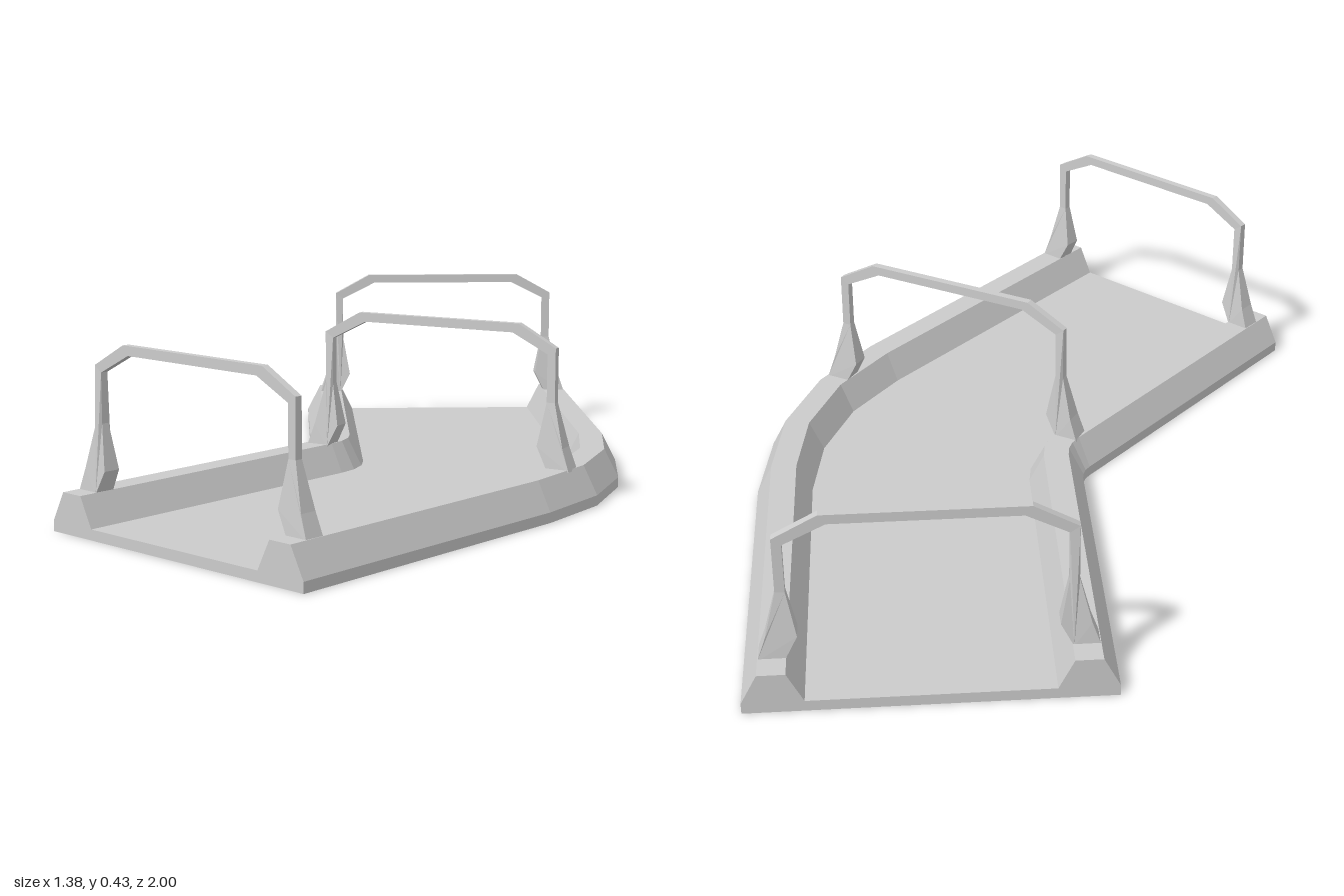
import * as THREE from 'three';

const material = new THREE.MeshStandardMaterial({ color: 0xcccccc, flatShading: true, side: THREE.DoubleSide });

// Closed shape from the right-hand half of a symmetric outline
function mirroredShape(half) {
  const pts = [...half, ...half.slice().reverse().map(([x, y]) => [-x, y])];
  return new THREE.Shape(pts.map(([x, y]) => new THREE.Vector2(x, y)));
}

// Stations along the bend: centre x, z and turn angle
const PIVOT = [-0.17, -0.2], RADIUS = 0.465;
const stations = [[0.295, -1, 0]];
for (let i = 0; i <= 3; i++) {
  const a = (i * Math.PI) / 12;
  stations.push([PIVOT[0] + RADIUS * Math.cos(a), PIVOT[1] + RADIUS * Math.sin(a), a]);
}
stations.push([-0.413, 0.722, Math.PI / 4]);

// Channel section with raised side rails, swept through the stations
function makeTrack() {
  const shape = mirroredShape([
    [0.393, 0], [0.393, 0.025], [0.357, 0.095], [0.297, 0.095], [0.262, 0.025],
  ]);
  const steps = stations.length - 1;
  const geo = new THREE.ExtrudeGeometry(shape, { depth: steps, steps, bevelEnabled: false });
  const pos = geo.attributes.position;
  for (let i = 0; i < pos.count; i++) {
    const [cx, cz, a] = stations[Math.round(pos.getZ(i))];
    const across = pos.getX(i);
    pos.setX(i, cx + across * Math.cos(a));
    pos.setZ(i, cz + across * Math.sin(a));
  }
  geo.computeVertexNormals();
  const mesh = new THREE.Mesh(geo, material);
  mesh.name = 'trackBed';
  return mesh;
}

// Hoop half depth: wide at the feet, slim from the neck up
function halfDepth(y) {
  if (y < 0.12) return 0.025;
  return y < 0.2 ? 0.021 : 0.009;
}

// Arch with chamfered corners and flared feet
function makeHoopGeometry() {
  const outer = [[0.357, 0.09], [0.338, 0.145], [0.312, 0.25], [0.312, 0.38], [0.216, 0.433]];
  const inner = [[0.2, 0.411], [0.291, 0.365], [0.291, 0.25], [0.272, 0.145], [0.3, 0.09]];
  const mirror = (list) => list.slice().reverse().map(([x, y]) => [-x, y]);
  const pts = [...outer, ...mirror(outer), ...mirror(inner), ...inner];
  const shape = new THREE.Shape(pts.map(([x, y]) => new THREE.Vector2(x, y)));
  const geo = new THREE.ExtrudeGeometry(shape, { depth: 1, bevelEnabled: false });
  const pos = geo.attributes.position;
  for (let i = 0; i < pos.count; i++) {
    pos.setZ(i, (pos.getZ(i) > 0.5 ? 1 : -1) * halfDepth(pos.getY(i)));
  }
  geo.computeVertexNormals();
  return geo;
}

export function createModel() {
  const group = new THREE.Group();
  group.name = 'curvedTrack';
  group.add(makeTrack());

  // Hoops over the back end, the bend and the front end
  const hoopGeo = makeHoopGeometry();
  const hoops = [
    ['backHoop', 0.295, -0.92, 0],
    ['middleHoop', 0.205, 0.07, 0.55],
    ['frontHoop', -0.363, 0.67, Math.PI / 4],
  ];
  for (const [name, x, z, angle] of hoops) {
    const hoop = new THREE.Mesh(hoopGeo, material);
    hoop.name = name;
    hoop.position.set(x, 0, z);
    hoop.rotation.y = -angle;
    group.add(hoop);
  }
  return group;
}
